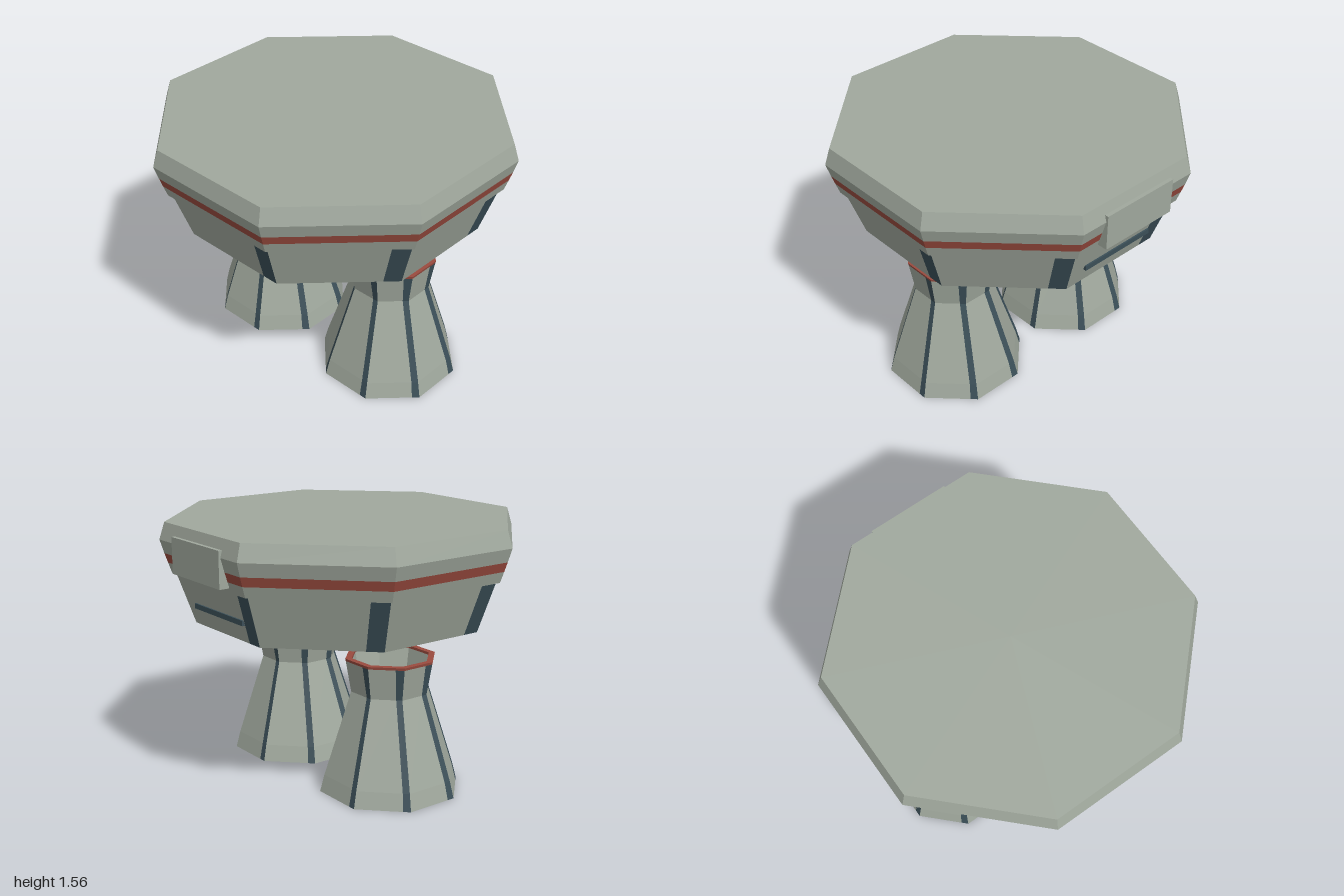
import * as THREE from 'three';

const flat = (name, color) => Object.assign(new THREE.MeshStandardMaterial({ color }), { name });
const grey = flat('pale grey', 0xa0a89d);
const red = flat('rust red', 0x9a4b3f);
const navy = flat('dark slate', 0x3b4f58);
const gold = flat('ochre', 0xcc933c);

const SIDES = 8;
const HALF = Math.tan(Math.PI / SIDES);

// Eight-sided shell. Profile points are [apothem, y, stripe width], listed so the
// outside runs downward. part 'face' leaves the stripe at each right edge out,
// part 'stripe' makes only that stripe.
function octShell(profile, part = 'face') {
  const pos = [];
  for (let k = 0; k < SIDES; k++) {
    const a = (k / SIDES) * Math.PI * 2, s = Math.sin(a), c = Math.cos(a);
    const point = ([r, y], t) => [s * r + c * t, y, c * r - s * t];
    const span = ([r, , w = 0]) => {
      const edge = r * HALF;
      return part === 'face' ? [-edge, edge - w] : [edge - w, edge];
    };
    for (let i = 0; i < profile.length - 1; i++) {
      const up = profile[i], low = profile[i + 1];
      const [uL, uR] = span(up), [lL, lR] = span(low);
      const A = point(low, lL), B = point(low, lR), C = point(up, uR), D = point(up, uL);
      pos.push(...A, ...B, ...C, ...A, ...C, ...D);
    }
  }
  const geo = new THREE.BufferGeometry();
  geo.setAttribute('position', new THREE.Float32BufferAttribute(pos, 3));
  geo.computeVertexNormals();
  return geo;
}

function add(parent, name, geo, mat, x = 0, y = 0, z = 0) {
  const mesh = new THREE.Mesh(geo, mat);
  mesh.name = name;
  mesh.position.set(x, y, z);
  parent.add(mesh);
  return mesh;
}

function createBody() {
  const body = new THREE.Group();
  body.name = 'body';
  // Flat top, bevel and upper rim
  add(body, 'topAndRim', octShell([[0, 1.56], [0.965, 1.56], [0.994, 1.46], [0.971, 1.38]]), grey);
  add(body, 'redBand', octShell([[0.971, 1.38], [0.954, 1.325]]), red);
  add(body, 'lowerRim', octShell([[0.954, 1.325], [0.933, 1.26], [0.912, 1.26]]), grey);
  // Tapered skirt with dark corner stripes
  const skirt = [[0.912, 1.26, 0.105], [0.815, 0.96, 0.1]];
  add(body, 'skirt', octShell(skirt), grey);
  add(body, 'skirtStripes', octShell(skirt, 'stripe'), navy);
  add(body, 'underside', octShell([[0.815, 0.96], [0, 0.96]]), grey);
  // Plate and slot on the back
  add(body, 'backPlate', new THREE.BoxGeometry(0.5, 0.21, 0.06), grey, 0, 1.395, -0.975);
  add(body, 'backSlot', new THREE.BoxGeometry(0.5, 0.03, 0.03), navy, 0, 1.085, -0.855);
  // Underside fittings
  for (const x of [-0.455, 0.455]) {
    add(body, 'underPad', new THREE.BoxGeometry(0.1, 0.01, 0.28), gold, x, 0.955, -0.29);
    add(body, 'underPadHead', new THREE.BoxGeometry(0.19, 0.005, 0.06), gold, x, 0.958, -0.4);
  }
  const mark = add(body, 'underMark', new THREE.CylinderGeometry(1, 1, 0.004, 4), navy, 0, 0.959, -0.03);
  mark.scale.set(0.07, 1, 0.17);
  body.position.z = 0.004;
  return body;
}

function createLeg(x) {
  const leg = new THREE.Group();
  leg.name = 'leg';
  // Flared outer wall and bottom rim, striped along each corner
  const wall = [
    [0.247, 0.785, 0.05], [0.217, 0.6, 0.035], [0.366, 0.1, 0.04],
    [0.39, 0, 0.045], [0.315, 0, 0.03],
  ];
  add(leg, 'wall', octShell(wall), grey);
  add(leg, 'wallStripes', octShell(wall, 'stripe'), navy);
  // Red lip, open cup above and dark hollow below
  add(leg, 'topLip', octShell([[0.215, 0.785], [0.215, 0.8], [0.25, 0.8], [0.247, 0.785]]), red);
  add(leg, 'cup', octShell([[0, 0.62], [0.185, 0.62], [0.215, 0.785]]), grey);
  add(leg, 'hollow', octShell([[0.315, 0], [0.295, 0.1], [0.16, 0.58], [0, 0.58]]), navy);
  leg.position.set(x, 0, 0.005);
  return leg;
}

export function createModel() {
  const model = new THREE.Group();
  model.name = 'model';
  model.add(createBody(), createLeg(-0.458), createLeg(0.458));
  return model;
}
